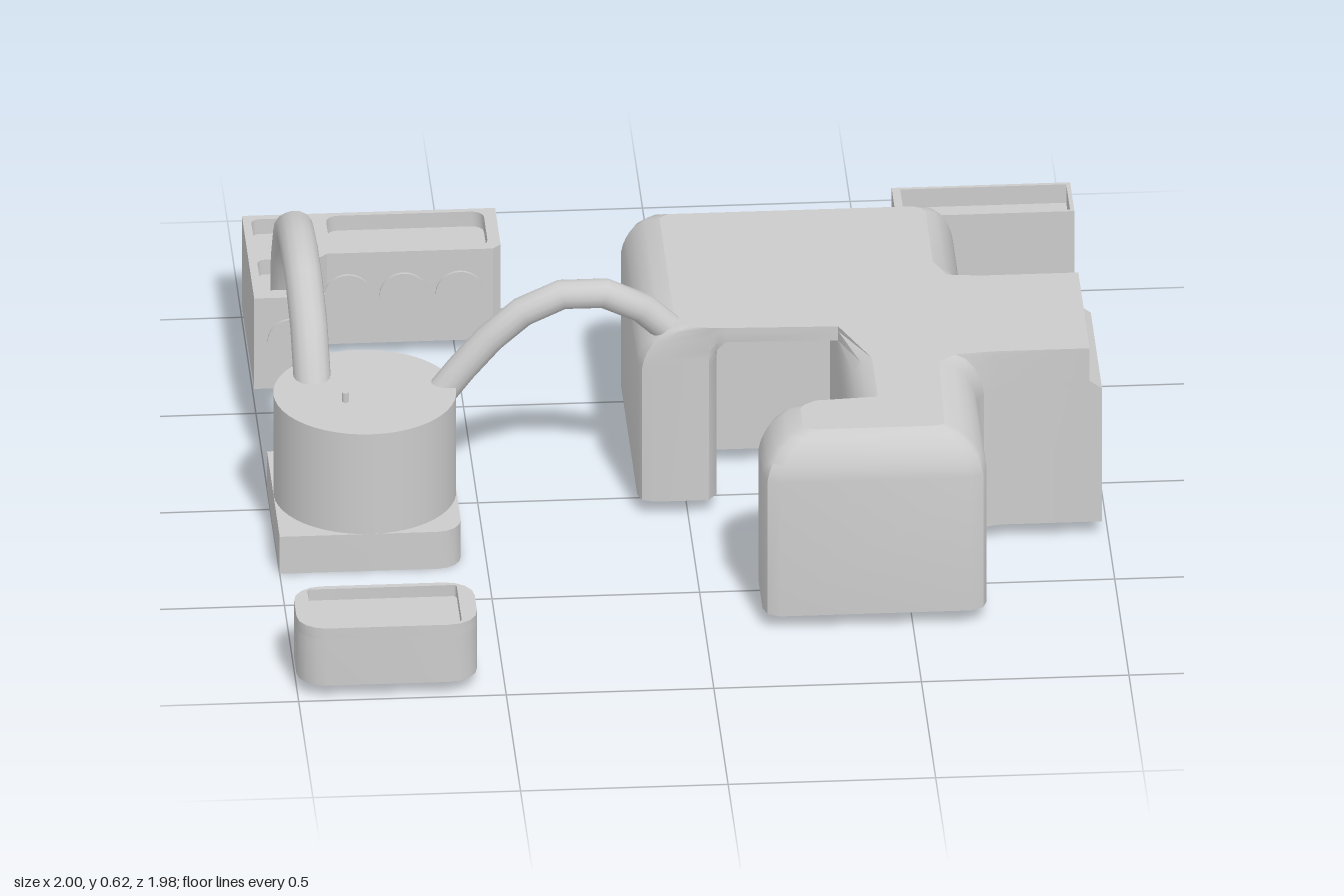
import * as THREE from 'three';
import { toCreasedNormals } from 'three/addons/utils/BufferGeometryUtils.js';

// Double sided because the blocks are shells, open underneath
const grey = new THREE.MeshStandardMaterial({ color: 0xcccccc, side: THREE.DoubleSide });

function add(parent, geometry, name, x = 0, y = 0, z = 0) {
  const mesh = new THREE.Mesh(geometry, grey);
  mesh.name = name;
  mesh.position.set(x, y, z);
  parent.add(mesh);
}

// Points of a rounded rectangle in plan (shape y is -z), with left and right corner radii
function plan(x0, x1, z0, z1, left, right = left) {
  const points = [];
  const corner = (x, y, r, start) => {
    const steps = r > 0 ? 4 : 0;
    for (let i = 0; i <= steps; i++) {
      const a = start + (steps ? (i / steps) * Math.PI / 2 : 0);
      points.push(new THREE.Vector2(x + r * Math.cos(a), y + r * Math.sin(a)));
    }
  };
  corner(x0 + left, -z1 + left, left, Math.PI);
  corner(x1 - right, -z1 + right, right, Math.PI * 1.5);
  corner(x1 - right, -z0 - right, right, 0);
  corner(x0 + left, -z0 - left, left, Math.PI / 2);
  return points;
}

// Upright prism whose underside is set up into the walls by recess
function prism(points, y0, y1, recess = 0, holes = []) {
  const shape = new THREE.Shape(points);
  shape.holes = holes.map(h => new THREE.Path(h));
  let g = new THREE.ExtrudeGeometry(shape, { depth: y1 - y0, bevelEnabled: false });
  g.clearGroups();
  g.rotateX(-Math.PI / 2);
  g.translate(0, y0, 0);
  g = toCreasedNormals(g, 0.6);
  const p = g.attributes.position, n = g.attributes.normal;
  for (let i = 0; i < p.count; i++) if (n.getY(i) < -0.9) p.setY(i, y0 + recess);
  return g;
}

// Block with sunken pockets in its top
function tray(parent, name, points, pockets, y0, y1, depth, recess) {
  const group = new THREE.Group();
  group.name = name;
  add(group, prism(points, y0, y1 - depth, recess), name + 'Body');
  add(group, prism(points, y1 - depth, y1, 0, pockets.map(p => plan(...p))), name + 'Rim');
  parent.add(group);
  return group;
}

function cable(parent, name, points, radius) {
  const curve = new THREE.CatmullRomCurve3(points.map(p => new THREE.Vector3(...p)));
  add(parent, new THREE.TubeGeometry(curve, 7, radius, 14), name);
}

// Main building: plan corners as [wall x, wall z, roof x, roof z, reach], clockwise from above.
// A corner with reach runs straight to its roof position by that share of the eaves height.
const corners = [
  [-.12, -.51, -.03, -.47], [-.11, -.54, -.02, -.48], [-.08, -.555, -.01, -.49],
  [.64, -.555, .58, -.49], [.67, -.54, .60, -.48], [.68, -.51, .61, -.46],
  [.68, -.17, .61, -.20], [.70, -.13, .64, -.13], [.74, -.12, .72, -.12],
  [.985, -.12, .955, -.12, .2], [.985, .275, .955, .275, .2],
  [.74, .275, .72, .275], [.70, .285, .63, .285], [.68, .32, .59, .32],
  [.68, .67, .58, .64], [.67, .70, .57, .645], [.64, .715, .56, .65],
  [.18, .715, .27, .65], [.15, .70, .25, .64], [.14, .67, .24, .62],
  [.14, .53, .24, .54], [.15, .50, .25, .52], [.18, .49, .28, .50],
  [.36, .49, .43, .49], [.36, .28, .43, .29],
  [.36, -.16, .36, .12, .65], [.07, -.16, .09, .11, .65],
  [.07, .07, .07, .108, .65], [.05, .10, .05, .106],
  [-.08, .10, .0, .10], [-.11, .09, -.01, .09], [-.12, .06, -.03, .07],
];
// Eaves profile as [inward share, height share]
const eavesProfile = [[0, 0], [.05, .2], [.13, .38], [.32, .65], [.62, .88], [1, 1]];

function mainBuilding() {
  const group = new THREE.Group();
  group.name = 'mainBuilding';
  const base = 0.04, eaves = 0.4, roof = 0.51, n = corners.length;
  const rings = [corners.map(c => [c[0], base, c[1]])];
  for (const [inward, up] of eavesProfile) {
    rings.push(corners.map(([x, z, roofX, roofZ, reach]) => {
      const t = reach ? Math.min(1, up / reach) : inward;
      return [x + (roofX - x) * t, eaves + (roof - eaves) * up, z + (roofZ - z) * t];
    }));
  }
  const index = [];
  for (let j = 0; j < rings.length - 1; j++) for (let i = 0; i < n; i++) {
    const k = (i + 1) % n, a = j * n + i, b = j * n + k;
    index.push(a, a + n, b, b, a + n, b + n);
  }
  const walls = new THREE.BufferGeometry();
  walls.setAttribute('position', new THREE.Float32BufferAttribute(rings.flat(2), 3));
  walls.setIndex(index);
  add(group, toCreasedNormals(walls, 0.7), 'walls');
  const top = new THREE.Shape(corners.map(c => new THREE.Vector2(c[2], -c[3])));
  add(group, new THREE.ShapeGeometry(top).rotateX(-Math.PI / 2), 'roof', 0, roof);
  const floor = new THREE.Shape(corners.map(c => new THREE.Vector2(c[0], c[1])));
  add(group, new THREE.ShapeGeometry(floor).rotateX(Math.PI / 2), 'underside', 0, base + 0.1);
  return group;
}

export function createModel() {
  const model = new THREE.Group();
  model.name = 'buildingComplex';
  model.add(mainBuilding());

  // Round tank on a square plinth
  add(model, prism(plan(-1, -.56, -.11, .335, 0, .06), 0, .1, .06), 'plinth');
  add(model, new THREE.CylinderGeometry(.22, .22, .28, 48), 'tank', -.78, .23, .115);
  add(model, new THREE.CylinderGeometry(.008, .008, .03, 8), 'tankPeg', -.83, .38, .16);

  // L-shaped tray block with three pockets
  const ell = [
    [-1, .56], [-.83, .56], [-.83, .76], [-.81, .78], [-.41, .78], [-.39, .80], [-.39, .99], [-1, .99],
  ].map(p => new THREE.Vector2(...p));
  const block = tray(model, 'pocketBlock', ell, [
    [-.98, -.845, -.97, -.80, .02],
    [-.80, -.42, -.975, -.795, .03],
    [-.98, -.85, -.76, -.60, .02],
  ], .035, .28, .04, .08);
  // Round ports on the front walls
  for (const [x, z] of [[-.49, -.78], [-.625, -.78], [-.76, -.78], [-.91, -.56]])
    add(block, new THREE.CylinderGeometry(.058, .058, .014, 28).rotateX(Math.PI / 2), 'port', x, .165, z);

  // Small outlying trays
  tray(model, 'frontTray', plan(-1, -.565, .77, .99, .07), [[-.965, -.605, .785, .975, .01]], .035, .19, .03, .07);
  tray(model, 'backTray', plan(.565, .995, -.99, -.84, 0), [[.585, .985, -.98, -.85, 0]], .06, .30, .05, .02);

  // Cables linking the tank to the blocks
  cable(model, 'backCable', [
    [-.91, .22, -.655], [-.91, .32, -.645], [-.91, .42, -.595], [-.91, .515, -.48],
    [-.91, .555, -.25], [-.905, .49, -.05], [-.9, .35, .03],
  ], .045);
  cable(model, 'sideCable', [
    [-.61, .32, .075], [-.53, .42, .07], [-.41, .54, .065], [-.27, .595, .06], [-.14, .565, .055], [-.03, .47, .05],
  ], .037);
  return model;
}
